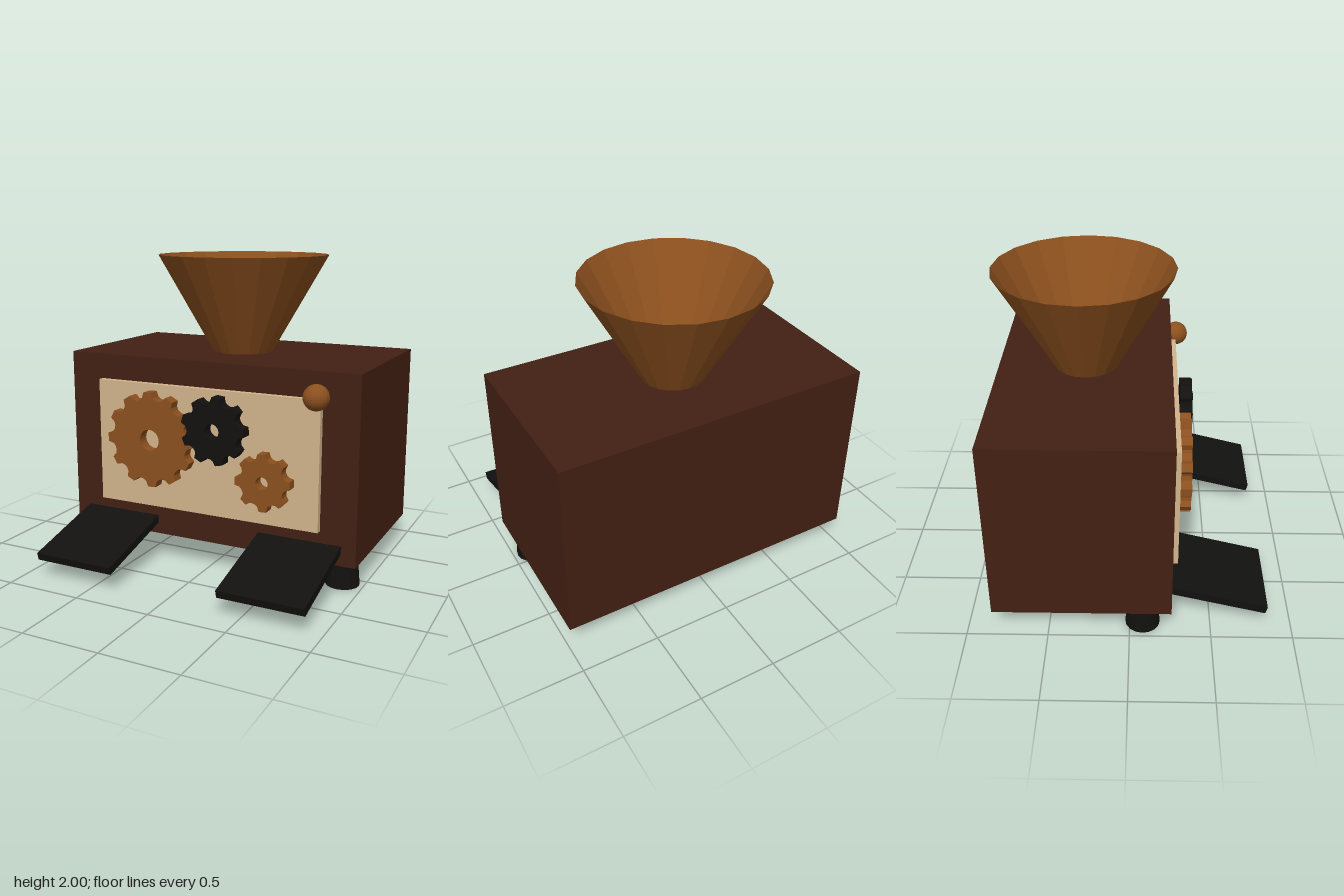
import * as THREE from 'three';

const material = (color, extra = {}) => new THREE.MeshStandardMaterial({ color, flatShading: true, ...extra });

export function createModel() {
  const model = new THREE.Group();
  const darkWood = material(0x432013);
  const copper = material(0x8c501e);
  const black = material(0x121110);
  const tan = material(0xd2b48c);

  function add(name, geometry, mat, x, y, z) {
    const mesh = new THREE.Mesh(geometry, mat);
    mesh.name = name;
    mesh.position.set(x, y, z);
    model.add(mesh);
    return mesh;
  }

  // Spur gear: each tooth has a flat tip and a rounded valley
  function gearGeometry(teeth, outer, root, hole, phase) {
    const points = [];
    const dip = outer - root;
    const profile = [[-0.17, outer], [0.17, outer], [0.27, root + dip * 0.25],
      [0.4, root], [0.6, root], [0.73, root + dip * 0.25]];
    for (let i = 0; i < teeth; i++) {
      for (const [t, r] of profile) {
        const a = phase + ((i + t) / teeth) * Math.PI * 2;
        points.push(new THREE.Vector2(Math.cos(a) * r, Math.sin(a) * r));
      }
    }
    const shape = new THREE.Shape(points);
    shape.holes.push(new THREE.Path().absarc(0, 0, hole, 0, Math.PI * 2, true));
    return new THREE.ExtrudeGeometry(shape, { depth: 0.08, bevelEnabled: false, curveSegments: 12 });
  }

  // Body and front plate
  add('body', new THREE.BoxGeometry(2, 1.18, 1.09), darkWood, 0, 0.775, -0.29);
  add('frontPlate', new THREE.BoxGeometry(1.54, 0.815, 0.06), tan, 0, 0.793, 0.265);

  // Open hopper
  add('hopper', new THREE.CylinderGeometry(0.56, 0.2, 0.635, 20, 1, true),
    material(0x8c501e, { side: THREE.DoubleSide }), 0, 1.6825, -0.287);

  // Gear train
  const deg = Math.PI / 180;
  add('largeGear', gearGeometry(12, 0.31, 0.265, 0.069, 2 * deg), copper, -0.35, 0.85, 0.29);
  add('middleGear', gearGeometry(9, 0.216, 0.175, 0.048, 3 * deg), black, 0.105, 0.96, 0.31);
  add('smallGear', gearGeometry(8, 0.182, 0.145, 0.04, 2 * deg), copper, 0.433, 0.67, 0.29);

  // Knob
  add('knob', new THREE.SphereGeometry(0.08, 20, 16), copper, 0.742, 1.215, 0.297);

  // Sloping pedals and tapered feet on both sides
  for (const [side, label] of [[1, 'left'], [-1, 'right']]) {
    const pedal = add(label + 'Pedal', new THREE.BoxGeometry(0.545, 0.05, 0.65), black, side * 0.633, 0.215, 0.526);
    pedal.rotation.x = 0.25;
    add(label + 'Foot', new THREE.CylinderGeometry(0.09, 0.108, 0.19, 16), black, side * 0.865, 0.095, 0.08);
  }

  return model;
}
